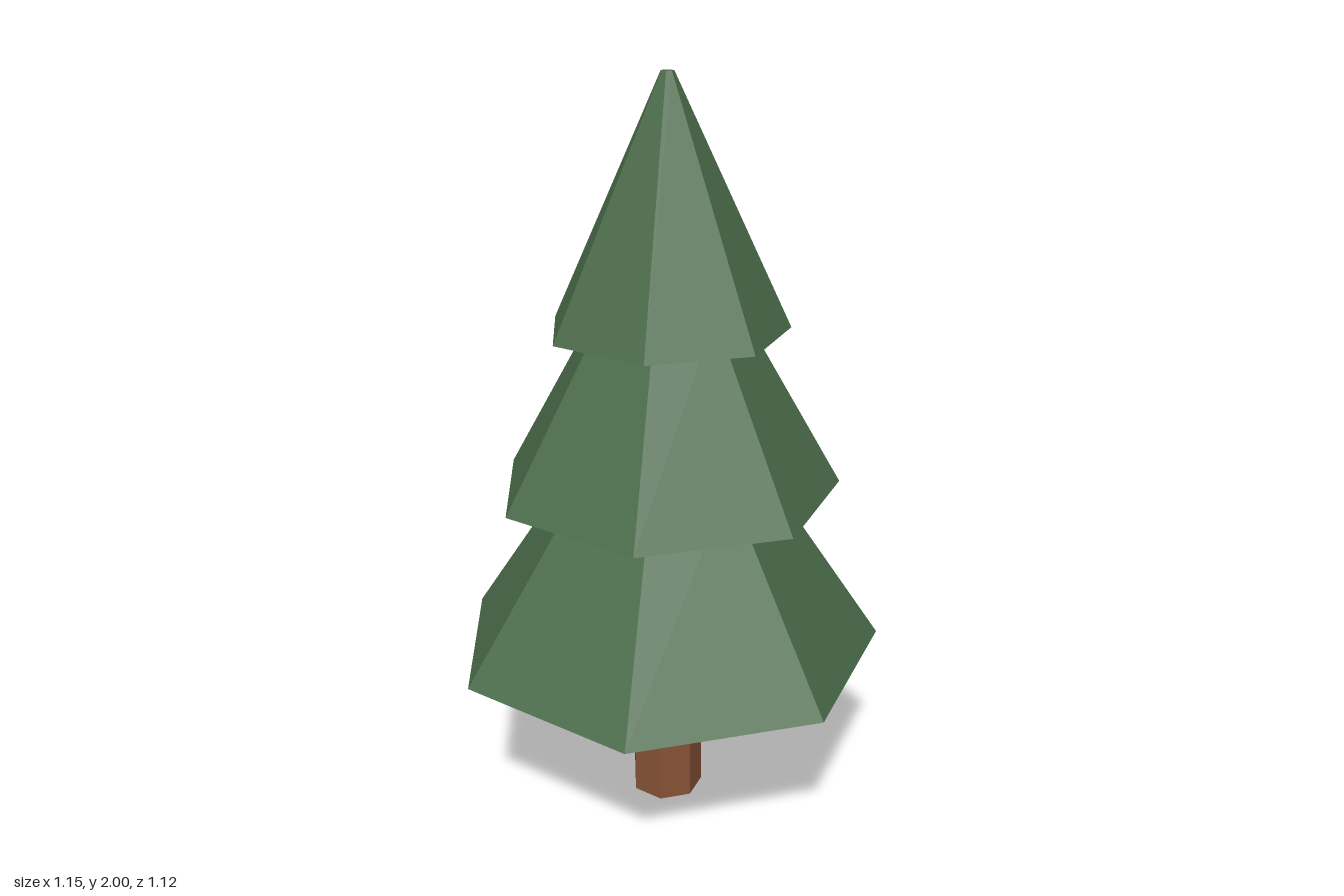
import * as THREE from 'three';

const SIDES = 7;
const CENTRE_Z = 0.027; // a heptagon's axis sits off the middle of its bounds

export function createModel() {
  const tree = new THREE.Group();
  tree.name = 'pineTree';

  const foliage = new THREE.MeshStandardMaterial({ color: 0x4a6b4a, flatShading: true });
  foliage.name = 'foliage green';
  const bark = new THREE.MeshStandardMaterial({ color: 0x875236, flatShading: true });
  bark.name = 'bark brown';

  // Seven-sided frustum with one corner pointing to the back
  function frustum(name, material, bottomRadius, topRadius, y0, y1) {
    const geometry = new THREE.CylinderGeometry(topRadius, bottomRadius, y1 - y0, SIDES, 1, false, Math.PI);
    const mesh = new THREE.Mesh(geometry, material);
    mesh.name = name;
    mesh.position.set(0, (y0 + y1) / 2, CENTRE_Z);
    tree.add(mesh);
  }

  // Trunk, ending just inside the lowest tier
  frustum('trunk', bark, 0.1, 0.1, 0, 0.5);

  // Tiers of branches, each tucked into the one above
  frustum('lowerBranches', foliage, 0.59, 0.235, 0.47, 1.0);
  frustum('middleBranches', foliage, 0.464, 0.177, 0.93, 1.43);
  frustum('topBranches', foliage, 0.32, 0.017, 1.36, 2);

  return tree;
}
